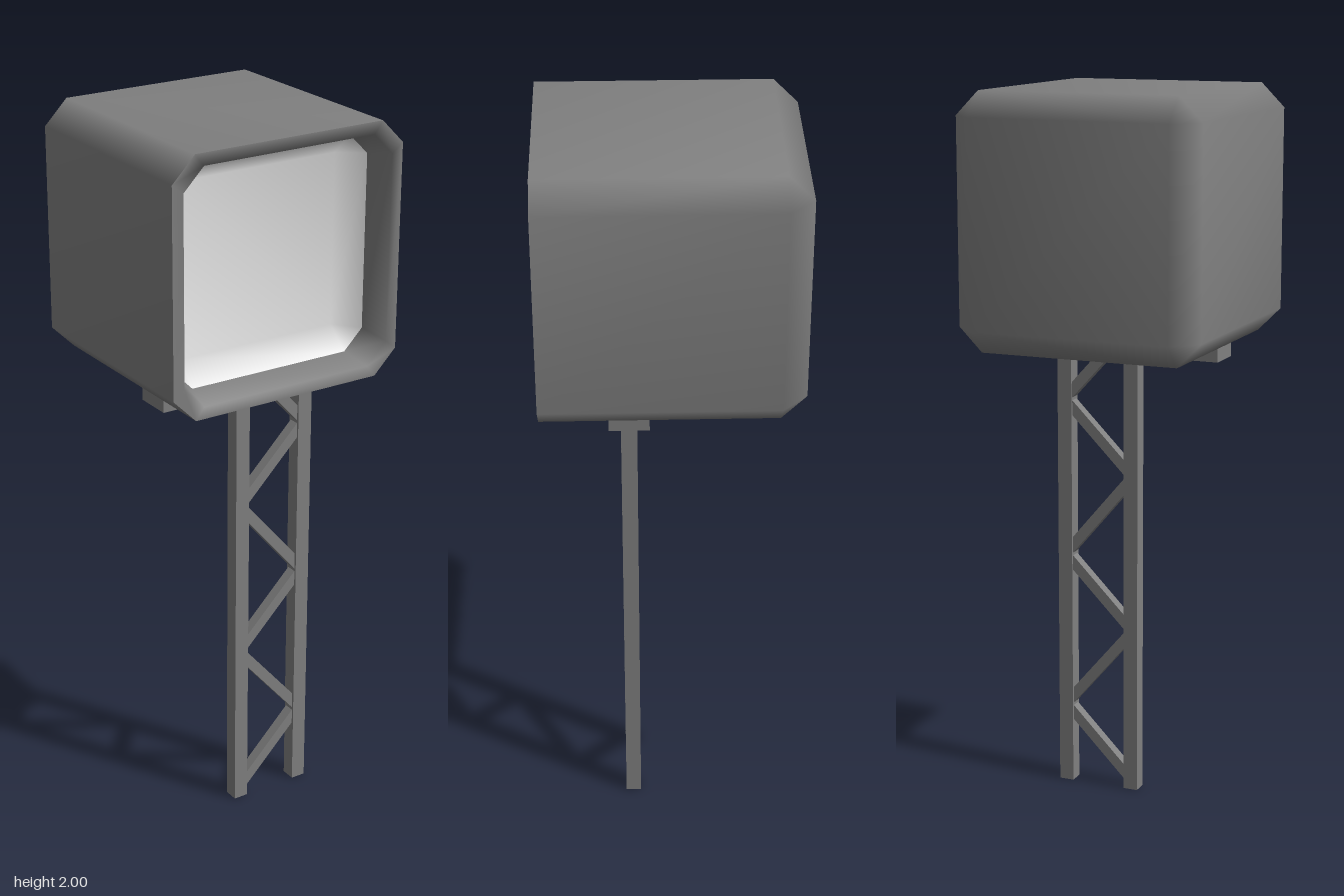
import * as THREE from 'three';
import { mergeVertices } from 'three/addons/utils/BufferGeometryUtils.js';

const grey = new THREE.MeshStandardMaterial({ color: 0x808080 });
grey.name = 'housing grey';
const white = new THREE.MeshStandardMaterial({ color: 0xe4e4e4 });
white.name = 'lamp white';

// Square ring with cut corners, counter-clockwise seen from the front
function ring(h, cut, z) {
  const k = h - cut;
  return [[h, -k], [h, k], [k, h], [-k, h], [-h, k], [-h, -k], [-k, -h], [k, -h]]
    .map(([x, y]) => new THREE.Vector3(x, y, z));
}

// Smooth skin through a list of rings; cap closes the 'first' or 'last' one
function loft(rings, cap) {
  const pts = [];
  const tri = (a, b, c) => {
    const area = b.clone().sub(a).cross(c.clone().sub(a)).length();
    if (area > 1e-8) pts.push(a, b, c);
  };
  for (let r = 0; r < rings.length - 1; r++) {
    const a = rings[r], b = rings[r + 1];
    for (let i = 0; i < 8; i++) {
      const j = (i + 1) % 8;
      tri(a[i], b[i], b[j]);
      tri(a[i], b[j], a[j]);
    }
  }
  const first = rings[0], last = rings[rings.length - 1];
  for (let i = 1; i < 7; i++) {
    if (cap === 'first') tri(first[0], first[i], first[i + 1]);
    if (cap === 'last') tri(last[0], last[i + 1], last[i]);
  }
  const flat = new THREE.BufferGeometry();
  flat.setAttribute('position', new THREE.Float32BufferAttribute(pts.flatMap((p) => p.toArray()), 3));
  const g = mergeVertices(flat, 1e-5);
  g.computeVertexNormals();
  return g;
}

export function createModel() {
  const model = new THREE.Group();
  model.name = 'signalLamp';
  const add = (parent, name, geometry, material, x, y, z) => {
    const m = new THREE.Mesh(geometry, material);
    m.name = name;
    m.position.set(x, y, z);
    parent.add(m);
    return m;
  };

  // Lamp head: bevelled shell, front rim and shallow lit dish
  const head = new THREE.Group();
  head.name = 'lampHead';
  head.position.y = 1.66;
  model.add(head);
  add(head, 'shell', loft([ring(0.34, 0.065, 0.34), ring(0.34, 0.065, -0.275), ring(0.275, 0, -0.34)], 'last'), grey, 0, 0, 0);
  add(head, 'frontRim', loft([ring(0.29, 0.055, 0.26), ring(0.308, 0.058, 0.34), ring(0.34, 0.065, 0.34)]), grey, 0, 0, 0);
  add(head, 'lampDish', loft([ring(0.232, 0, 0.2), ring(0.29, 0.055, 0.26)], 'first'), white, 0, 0, 0);

  // Mounting plate under the head
  add(model, 'mountingPlate', new THREE.BoxGeometry(0.515, 0.05, 0.105), grey, -0.003, 1.3, 0.11);

  // Lattice mast
  const mast = new THREE.Group();
  mast.name = 'mast';
  model.add(mast);
  for (const x of [0.005, 0.205]) {
    add(mast, 'post', new THREE.BoxGeometry(0.042, 1.28, 0.042), grey, x, 0.64, 0.11);
  }
  const brace = (x1, y1, x2, y2) => {
    const length = Math.hypot(x2 - x1, y2 - y1) + 0.012;
    const m = add(mast, 'brace', new THREE.BoxGeometry(length, 0.03, 0.03), grey, (x1 + x2) / 2, (y1 + y2) / 2, 0.11);
    m.rotation.z = Math.atan2(y2 - y1, x2 - x1);
  };
  for (let i = 0; i < 3; i++) {
    const y = i * 0.45;
    brace(0.018, 0.04, 0.192, 0.215 + 0);
    mast.children[mast.children.length - 1].position.y += y;
    if (i < 2) brace(0.192, y + 0.25, 0.018, y + 0.455);
    else brace(0.192, y + 0.25, 0.06, y + 0.395);
  }
  return model;
}
